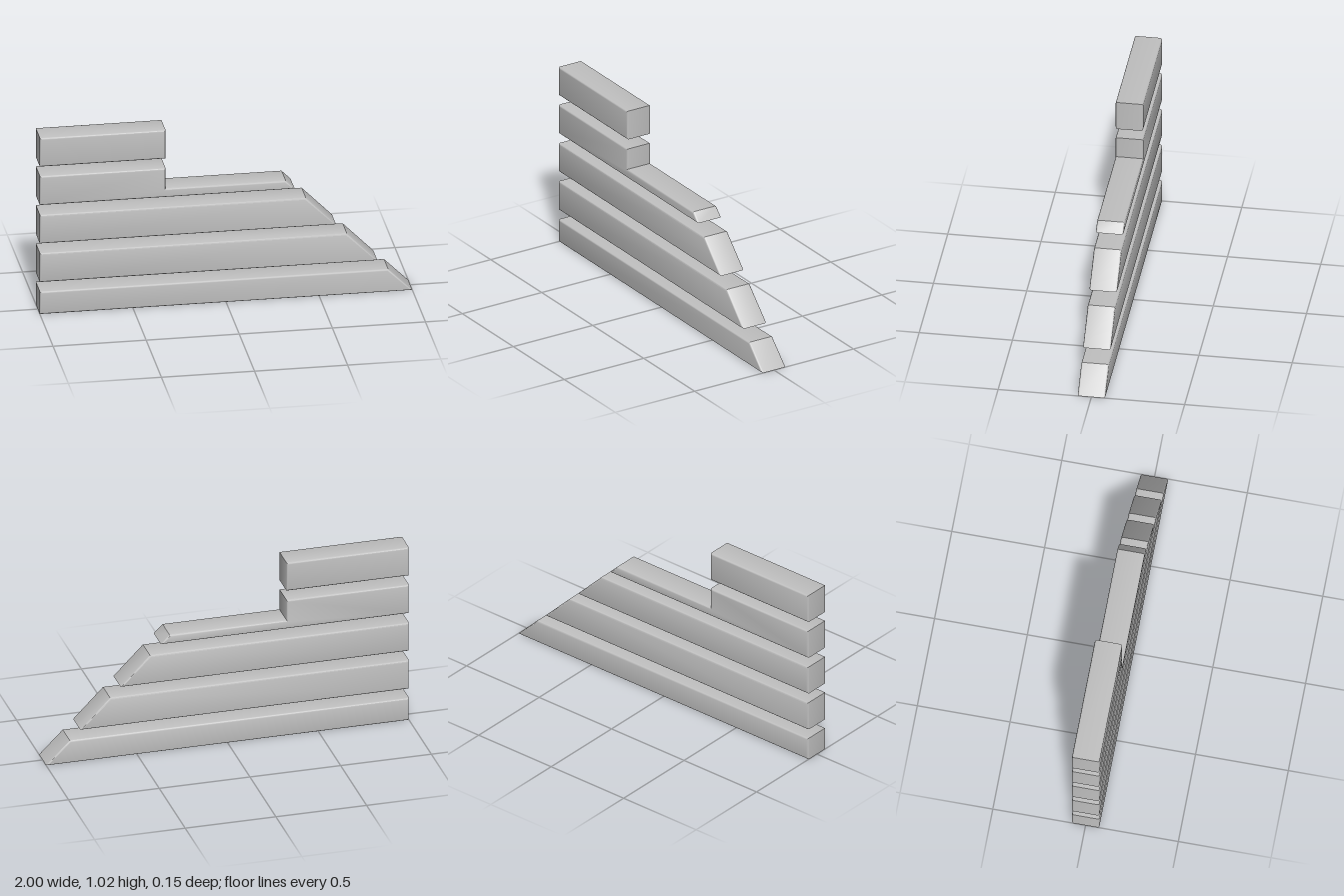
import * as THREE from 'three';
import { toCreasedNormals } from 'three/addons/utils/BufferGeometryUtils.js';

const HALF_DEPTH = 0.074;
const BEVEL = 0.01;

// Extrudes a side outline into a bar with softly rounded front and back rims
function bar(name, outline, material) {
  const shape = new THREE.Shape(outline.map(([x, y]) => new THREE.Vector2(x, y)));
  const geometry = new THREE.ExtrudeGeometry(shape, {
    depth: 2 * (HALF_DEPTH - BEVEL),
    bevelEnabled: true,
    bevelThickness: BEVEL,
    bevelSize: BEVEL,
    bevelOffset: -BEVEL,
    bevelSegments: 3,
  });
  geometry.translate(0, 0, -(HALF_DEPTH - BEVEL));
  const mesh = new THREE.Mesh(toCreasedNormals(geometry, 0.65), material);
  mesh.name = name;
  return mesh;
}

// Bar with a square left end and a slanted right end
const slanted = (bottom, top, xBottom, xTop) => [
  [-1, bottom], [xBottom, bottom], [xTop, top], [-1, top],
];

export function createModel() {
  const model = new THREE.Group();
  model.name = 'stackedBars';
  const grey = new THREE.MeshStandardMaterial({ color: 0xc0c0c0 });
  grey.name = 'light grey';

  model.add(
    bar('bottomBar', slanted(0, 0.13, 1, 0.87), grey),
    bar('secondBar', slanted(0.185, 0.352, 0.812, 0.648), grey),
    bar('thirdBar', slanted(0.408, 0.573, 0.59, 0.428), grey),
    // Tall block with a thin tongue reaching right
    bar('steppedBar', [
      [-1, 0.63], [0.368, 0.63], [0.32, 0.679],
      [-0.325, 0.679], [-0.325, 0.797], [-1, 0.797],
    ], grey),
    bar('topBar', slanted(0.852, 1.017, -0.325, -0.325), grey),
  );
  return model;
}
